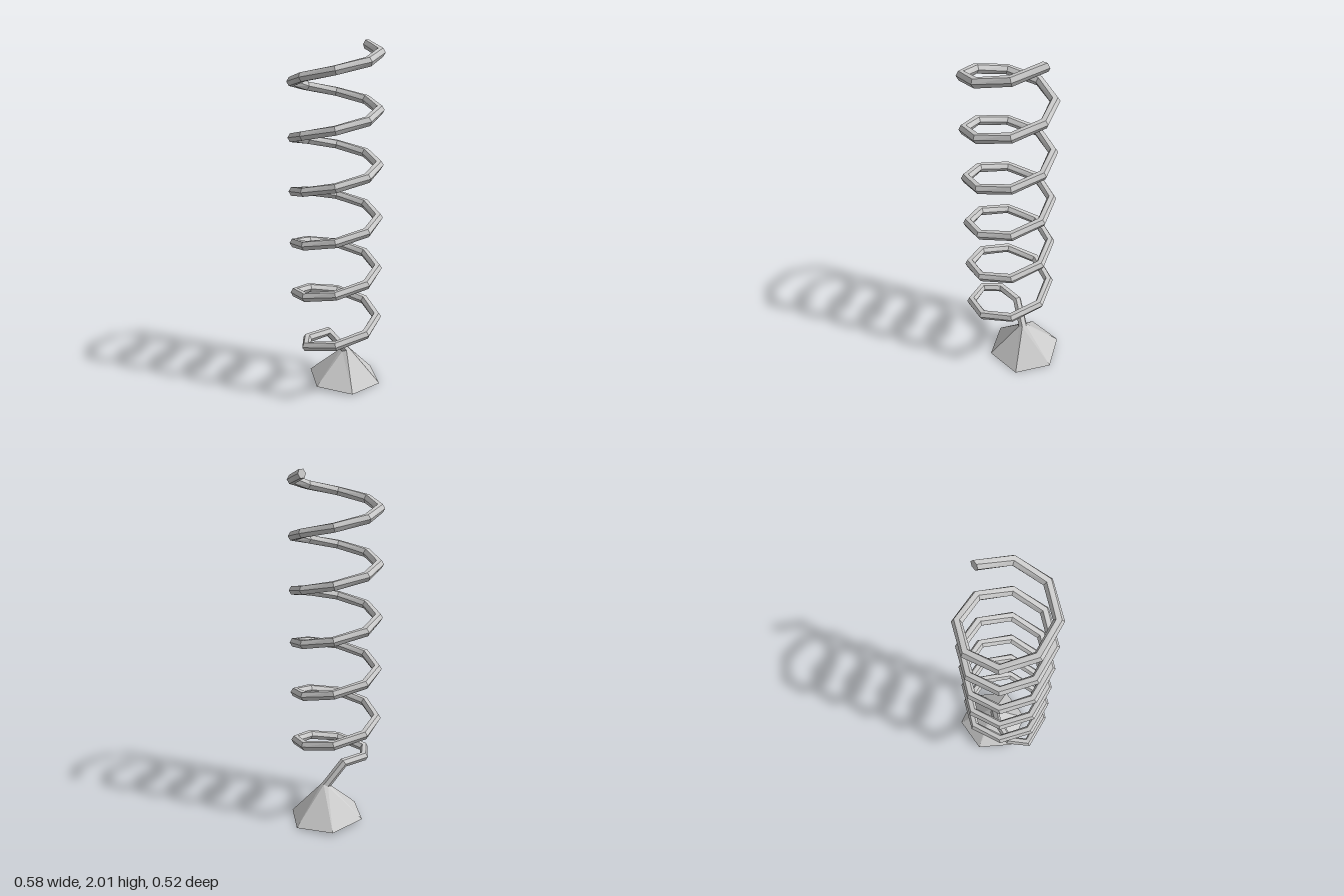
import * as THREE from 'three';

const SIDES = 6, WIRE = 0.027;
const V = (x, y, z) => new THREE.Vector3(x, y, z);

// Hexagonal ring around c, facing along t; the first corner points along n
function ring(c, t, n, r) {
  const dir = t.clone().normalize();
  const u = n.clone().addScaledVector(dir, -n.dot(dir)).normalize();
  const w = dir.clone().cross(u);
  return Array.from({ length: SIDES }, (_, j) => {
    const a = (j / SIDES) * Math.PI * 2;
    return c.clone().addScaledVector(u, r * Math.cos(a)).addScaledVector(w, r * Math.sin(a));
  });
}

// Faceted skin through a list of rings, with optional flat ends
function loft(rings, capStart, capEnd) {
  const p = [];
  const tri = (...q) => q.forEach(v => p.push(v.x, v.y, v.z));
  for (let i = 0; i < rings.length - 1; i++) {
    for (let j = 0; j < SIDES; j++) {
      const k = (j + 1) % SIDES, a = rings[i], b = rings[i + 1];
      tri(a[j], a[k], b[j]);
      tri(a[k], b[k], b[j]);
    }
  }
  const first = rings[0], last = rings[rings.length - 1];
  for (let j = 1; j < SIDES - 1; j++) {
    if (capStart) tri(first[0], first[j + 1], first[j]);
    if (capEnd) tri(last[0], last[j], last[j + 1]);
  }
  const g = new THREE.BufferGeometry();
  g.setAttribute('position', new THREE.Float32BufferAttribute(p, 3));
  g.computeVertexNormals();
  return g;
}

export function createModel() {
  const group = new THREE.Group();
  const mat = new THREE.MeshStandardMaterial({ color: 0xcccccc, flatShading: true });
  const add = (name, geo) => {
    const m = new THREE.Mesh(geo, mat);
    m.name = name;
    group.add(m);
  };

  // Coil path: eight straight pieces per turn, five and a half turns downwards
  const path = [];
  for (let i = 0; i <= 44; i++) {
    const a = (i / 8) * Math.PI * 2;
    path.push(V(-0.03 + 0.235 * Math.cos(a), 1.98 - 0.0374 * i, 0.235 * Math.sin(a)));
  }
  // The wire bends inwards and drops to the foot
  path.push(V(-0.18, 0.328, -0.085), V(-0.03, 0.328, -0.068), V(0.062, 0.2, -0.02));

  const footCentre = V(0.07, 0.01, -0.03);
  const points = [...path, footCentre];
  const up = V(0, 1, 0);
  const rings = path.map((c, i) => {
    const t = points[i + 1].clone().sub(c).normalize();
    if (i > 0) t.add(c.clone().sub(points[i - 1]).normalize());
    else t.set(0, -0.2, 1);
    return ring(c, t, up.clone().cross(t), WIRE);
  });
  add('coil', loft(rings, true, false));

  // Foot: the wire flares into a slightly tilted hexagonal base
  const base = ring(footCentre, V(-0.035, -1, -0.045), V(0.54, 0, -0.84), 0.221);
  add('foot', loft([rings[rings.length - 1], base], false, true));

  // Stand on the ground
  const box = new THREE.Box3().setFromObject(group);
  group.children.forEach(m => m.geometry.translate(0, -box.min.y, 0));
  return group;
}
